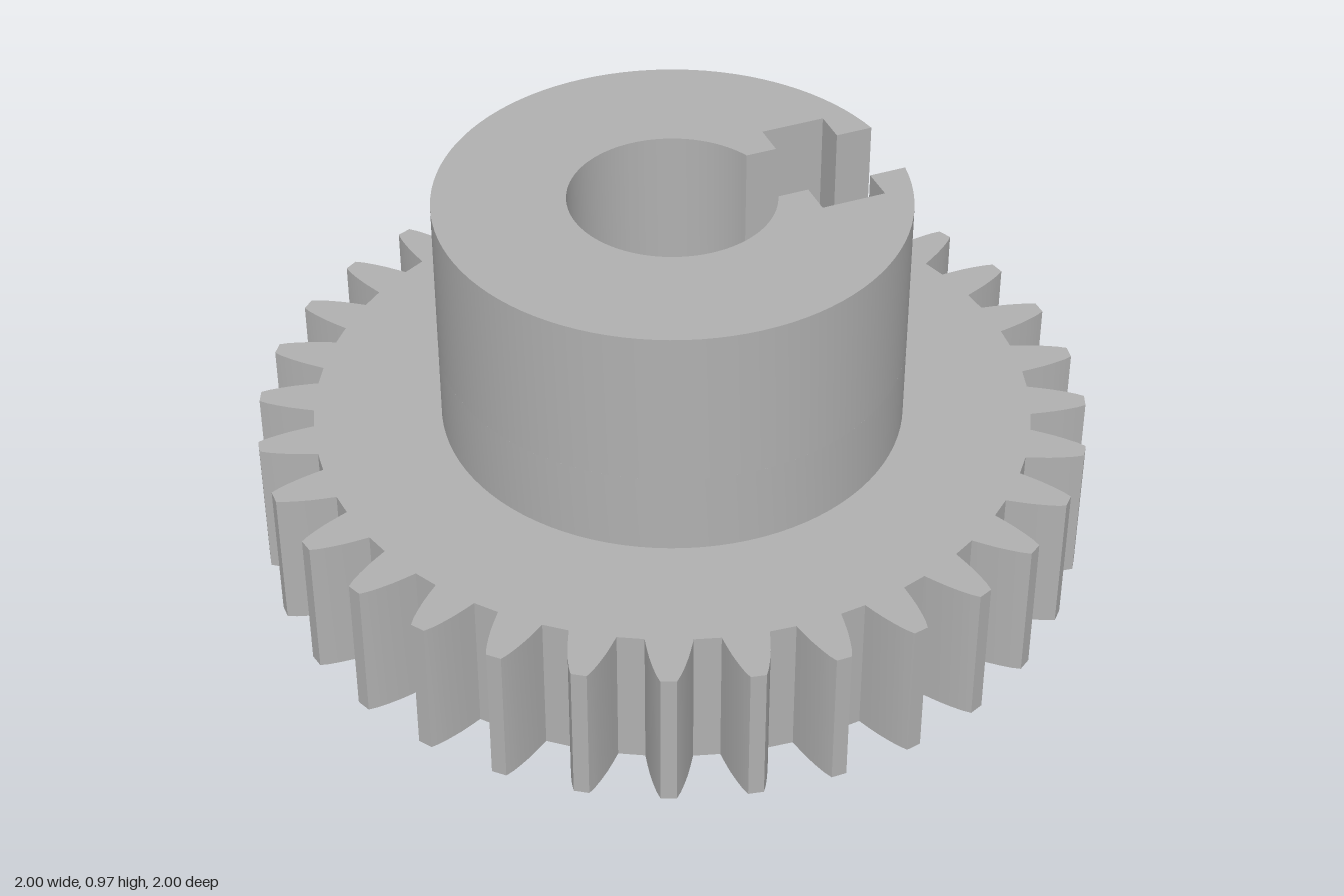
import * as THREE from 'three';
import { toCreasedNormals } from 'three/addons/utils/BufferGeometryUtils.js';

const BORE = 0.245, HUB = 0.558, FLANGE = 0.32;
const TEETH = 32;
const Y = { flange: 0, gear: 0.03, hub: 0.385, slot: 0.585, top: 0.975 };

export function createModel() {
  const group = new THREE.Group();
  const steel = new THREE.MeshStandardMaterial({ color: 0xb0b0b0 });
  steel.name = 'grey steel';

  // Extrude a plan outline upwards between two heights
  function addPart(name, shape, y0, y1) {
    const geo = new THREE.ExtrudeGeometry(shape, { depth: y1 - y0, bevelEnabled: false, curveSegments: 48 });
    geo.rotateX(-Math.PI / 2);
    geo.translate(0, y0, 0);
    const mesh = new THREE.Mesh(toCreasedNormals(geo, 0.3), steel);
    mesh.name = name;
    group.add(mesh);
  }

  function addBore(shape) {
    shape.holes.push(new THREE.Path().absarc(0, 0, BORE, 0, Math.PI * 2, true));
    return shape;
  }
  const ring = (r) => addBore(new THREE.Shape().absarc(0, 0, r, 0, Math.PI * 2, false));

  // Gear outline: curved flanks given as [radius, half width]
  const flank = [[0.866, 0.054], [0.895, 0.049], [0.925, 0.043], [0.955, 0.035], [0.98, 0.027], [1.0, 0.018]];
  const outline = [];
  for (let i = 0; i < TEETH; i++) {
    const mid = (i / TEETH) * Math.PI * 2;
    const put = (r, w) => {
      const a = mid + Math.asin(w / r);
      outline.push(new THREE.Vector2(r * Math.cos(a), r * Math.sin(a)));
    };
    flank.forEach(([r, w]) => put(r, -w));
    [...flank].reverse().forEach(([r, w]) => put(r, w));
  }

  // Upper hub outline: open ring with a radial slot and a wider nut pocket
  const s = 0.093, p = 0.174, x0 = 0.302, x1 = 0.46;
  const outer = Math.asin(s / HUB), inner = Math.asin(s / BORE);
  const collar = new THREE.Shape();
  collar.absarc(0, 0, HUB, outer, Math.PI * 2 - outer, false);
  [[x1, -s], [x1, -p], [x0, -p], [x0, -s]].forEach(([x, z]) => collar.lineTo(x, z));
  collar.absarc(0, 0, BORE, Math.PI * 2 - inner, inner, true);
  [[x0, s], [x0, p], [x1, p], [x1, s]].forEach(([x, z]) => collar.lineTo(x, z));
  collar.closePath();

  addPart('bottomFlange', ring(FLANGE), Y.flange, Y.gear);
  addPart('toothedWheel', addBore(new THREE.Shape(outline)), Y.gear, Y.hub);
  addPart('hubBase', ring(HUB), Y.hub, Y.slot);
  addPart('slottedHub', collar, Y.slot, Y.top);
  return group;
}
